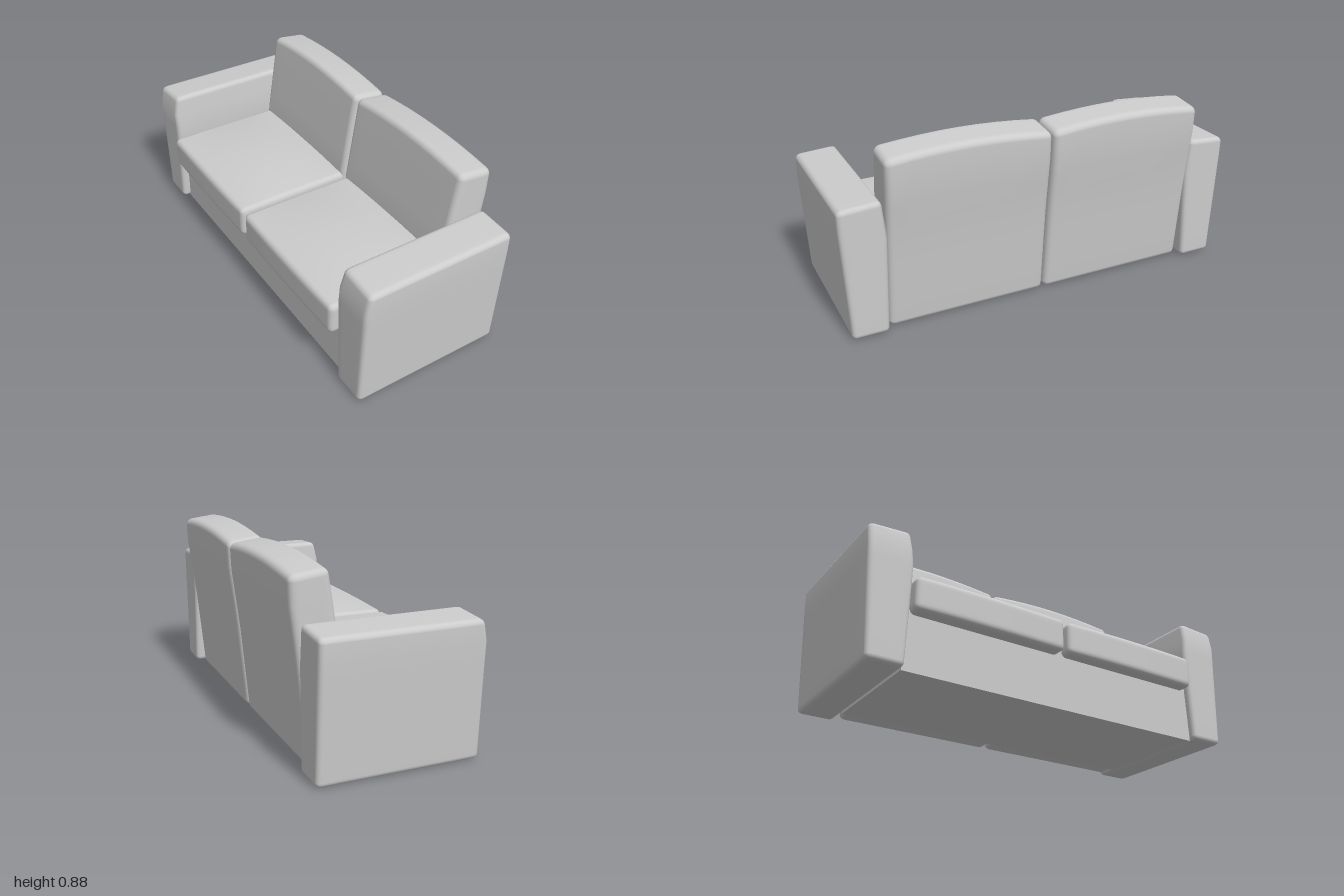
import * as THREE from 'three';
import { mergeVertices } from 'three/addons/utils/BufferGeometryUtils.js';

const { lerp, clamp } = THREE.MathUtils;
const material = new THREE.MeshStandardMaterial({ color: 0xcccccc });

// Rounded, subdivided block; warp maps its normalised coordinates (-1..1) to space.
function softBlock(name, size, radius, warp) {
  const n = 14, band = 3;
  const geo = new THREE.BoxGeometry(2, 2, 2, n, n, n);
  geo.deleteAttribute('uv');
  geo.deleteAttribute('normal');
  const half = size.map(v => v / 2);
  const pos = geo.attributes.position;
  for (let i = 0; i < pos.count; i++) {
    // Gather the grid lines towards the rounded edges
    const p = [pos.getX(i), pos.getY(i), pos.getZ(i)].map((u, k) => {
      const step = Math.abs(u) * n / 2, flat = n / 2 - band, inner = half[k] - radius;
      const d = step <= flat ? inner * step / flat : inner + radius * (step - flat) / band;
      return Math.sign(u) * d;
    });
    const core = p.map((v, k) => clamp(v, radius - half[k], half[k] - radius));
    const out = p.map((v, k) => v - core[k]);
    const len = Math.hypot(...out) || 1;
    const q = core.map((v, k) => (v + out[k] / len * radius) / half[k]);
    pos.setXYZ(i, ...warp(...q));
  }
  const smooth = mergeVertices(geo, 1e-5);
  smooth.computeVertexNormals();
  const mesh = new THREE.Mesh(smooth, material);
  mesh.name = name;
  return mesh;
}

// Smooth curve through [y, x] points
function profile(points, y) {
  const last = points.length - 1;
  if (y <= points[0][0]) return points[0][1];
  for (let i = 0; i < last; i++) {
    const [y0, x0] = points[i], [y1, x1] = points[i + 1];
    if (y <= y1) return lerp(x0, x1, (y - y0) / (y1 - y0));
  }
  return points[last][1];
}

const backFront = [[0.02, 0.16], [0.42, 0.168], [0.66, 0.205], [0.88, 0.24]];
const backRear = [[0, 0.33], [0.46, 0.375], [0.72, 0.41], [0.87, 0.416]];
const armInner = [[0.01, 0.80], [0.25, 0.79], [0.48, 0.782], [0.66, 0.80]];
const armOuter = [[0.01, 0.972], [0.6, 1.0], [0.66, 0.995]];

export function createModel() {
  const sofa = new THREE.Group();
  sofa.name = 'sofa';

  // Plinth between the arms
  const base = new THREE.Mesh(new THREE.BoxGeometry(0.6, 0.32, 1.6), material);
  base.name = 'base';
  base.position.set(-0.05, 0.17, 0);
  sofa.add(base);

  for (const side of [1, -1]) {
    // Arm: flares outwards, with the front top corner cut back
    sofa.add(softBlock('arm', [0.76, 0.645, 0.2], 0.024, (a, b, c) => {
      const s = c * side, t = (b + 1) / 2;
      const y = lerp(0.01, 0.652, t) - 0.007 * s * t;
      const cut = Math.max(0, y - 0.56) / 0.09 * 0.02 * (1 - a) / 2;
      const z = lerp(profile(armInner, y), profile(armOuter, y), (s + 1) / 2);
      return [-0.008 + 0.382 * a + cut, y, side * z];
    }));

    // Seat cushion with a gently crowned top and bowed front
    sofa.add(softBlock('seatCushion', [0.66, 0.15, 0.77], 0.025, (a, b, c) => {
      const crown = (1 - a * a) * (1 - c * c);
      return [
        -0.1 + 0.32 * a - 0.006 * (1 - c * c) * (1 - a) / 2 + 0.004,
        0.352 + 0.08 * b + (b > 0 ? 0.03 * crown * b : 0),
        side * 0.395 + 0.383 * c,
      ];
    }));

    // Back cushion: leaning slab reaching the floor, with an arched top
    sofa.add(softBlock('backCushion', [0.17, 0.88, 0.785], 0.03, (a, b, c) => {
      const t = (b + 1) / 2;
      const top = 0.858 + 0.026 * (1 - c * c);
      const y = lerp(0.014, top, t) - 0.011 * a;
      const x = lerp(profile(backFront, y), profile(backRear, y), (a + 1) / 2);
      return [x, y, side * 0.396 + 0.393 * c];
    }));
  }
  return sofa;
}
